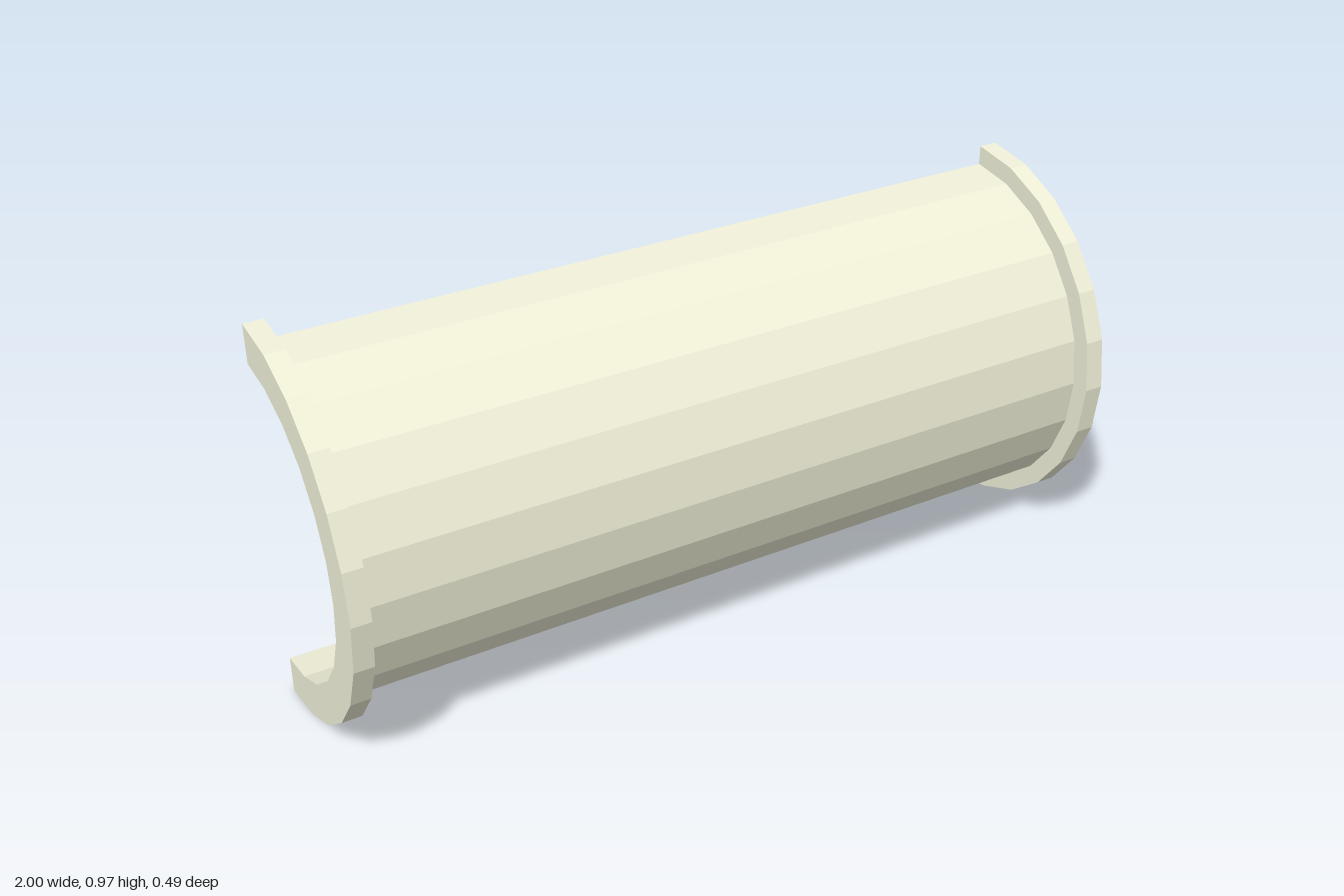
import * as THREE from 'three';

const INNER = 0.39, OUTER = 0.438, FLANGE = 0.486; // radii
const END = 1, LIP = 0.952; // flange extent along the axis
const SEGMENTS = 12;

export function createModel() {
  const material = new THREE.MeshStandardMaterial({ color: 0xf0f0d8, flatShading: true });

  // wall section (radius, position along the axis), counter-clockwise
  const section = [
    [INNER, -END], [FLANGE, -END], [FLANGE, -LIP], [OUTER, -LIP],
    [OUTER, LIP], [FLANGE, LIP], [FLANGE, END], [INNER, END],
  ].map(([r, a]) => new THREE.Vector2(r, a));

  const halfPipe = new THREE.Group();
  halfPipe.name = 'halfPipe';
  const add = (name, geometry) => {
    const mesh = new THREE.Mesh(geometry, material);
    mesh.name = name;
    halfPipe.add(mesh);
    return mesh;
  };

  // half-round shell with a flange at each end
  add('flangedShell', new THREE.LatheGeometry([...section, section[0].clone()], SEGMENTS, -Math.PI / 2, Math.PI));

  // flat cut faces along the open back
  const cut = new THREE.ShapeGeometry(new THREE.Shape(section));
  add('upperCutFace', cut).rotation.y = Math.PI;
  add('lowerCutFace', cut).rotation.x = Math.PI;

  // lay the axis along x, open side to the back
  halfPipe.rotation.z = -Math.PI / 2;
  halfPipe.position.set(0, FLANGE, -FLANGE / 2);

  const model = new THREE.Group();
  model.name = 'flangedHalfPipe';
  model.add(halfPipe);
  return model;
}
